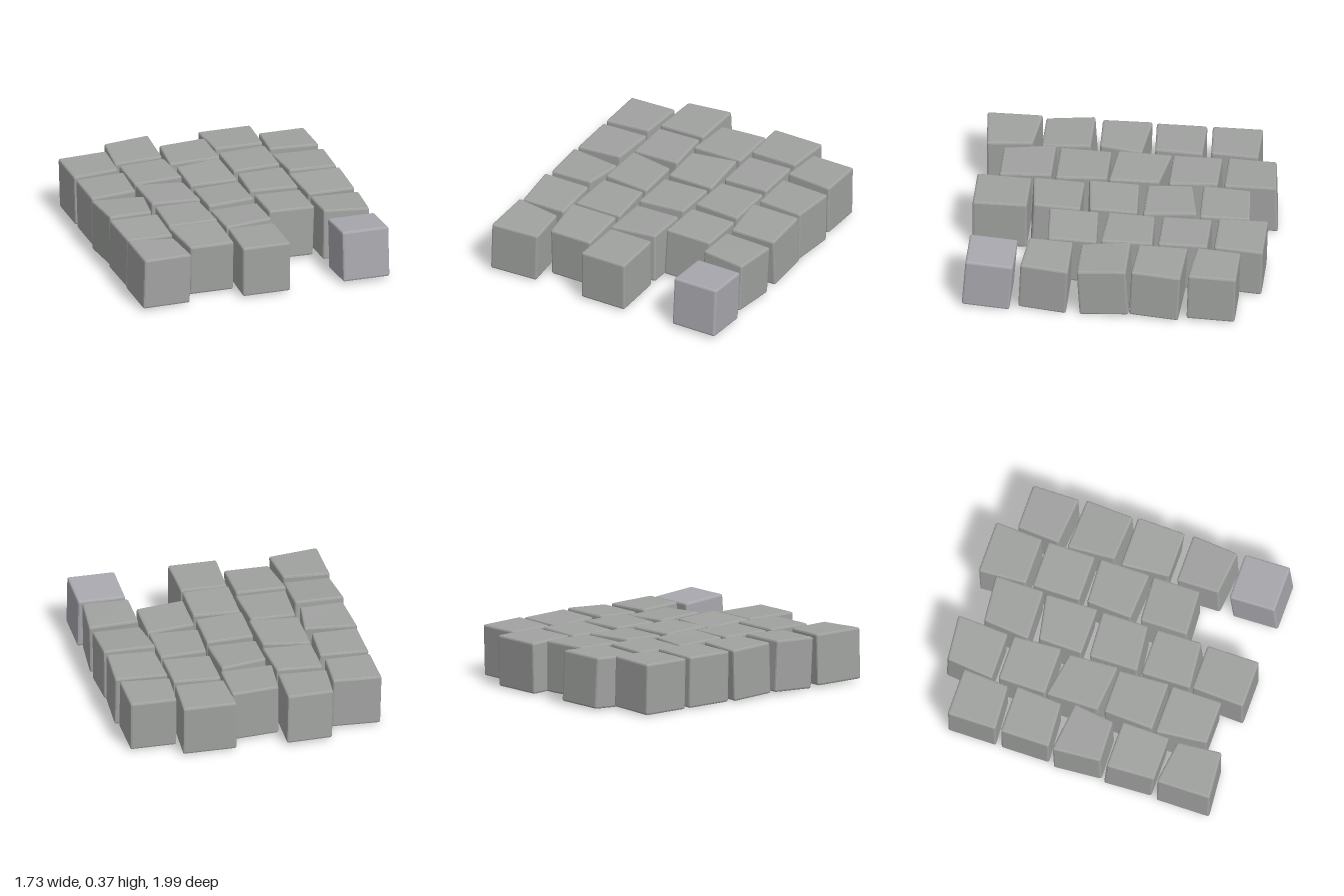
import * as THREE from 'three';
import { RoundedBoxGeometry } from 'three/addons/geometries/RoundedBoxGeometry.js';

// Columns of paving stones from -x to +x, each listed from back to front.
// back, front, left, right: slant of that edge of the top, seen from above with x to the right;
// leanX, leanZ: how far the foot is offset; deep, wide: extra size.
const columns = [
  [
    { front: -0.02, right: -0.02, leanX: 0.01 },
    { front: -0.02, right: -0.02, leanX: 0.01 },
    { back: 0.04, front: -0.01, left: 0.02, right: -0.04, leanZ: 0.01, deep: -0.02 },
    { left: 0.02, leanZ: -0.02 },
    { back: 0.04, front: -0.03, right: 0.025, leanX: -0.01, deep: 0.01 },
  ],
  [
    { back: -0.03, left: -0.03, right: -0.015, leanX: 0.01, leanZ: -0.01, deep: 0.01 },
    { right: 0.02, leanX: 0.01 },
    { back: 0.055, front: 0.03, right: 0.015, leanZ: 0.01, deep: 0.02 },
    { left: -0.015, right: 0.02, deep: 0.015 },
    { left: 0.04, leanZ: -0.015, deep: 0.02 },
  ],
  [
    { back: -0.03, front: -0.01, left: -0.03, wide: 0.015 },
    { back: -0.06, right: 0.015, leanZ: -0.015 },
    { back: -0.02, front: -0.035, leanZ: 0.01 },
    { front: -0.03, leanX: 0.01, leanZ: 0.015 },
    { left: -0.015, deep: 0.035 },
  ],
  [
    { left: 0.015, right: -0.02, leanZ: 0.01, wide: 0.025 },
    { leanX: 0.01 },
    { back: -0.015, front: 0.02, left: -0.015 },
    { back: -0.02, front: -0.02, leanX: -0.015, leanZ: 0.01 },
  ],
  [
    { front: 0.03, left: -0.02, leanZ: 0.01, deep: -0.02 },
    { back: 0.015, front: 0.02, left: 0.015, right: -0.02, leanZ: 0.015, wide: 0.015 },
    { left: 0.03, leanZ: -0.02, wide: 0.015 },
    { front: 0.03, right: -0.03, leanX: -0.01, leanZ: 0.015, deep: -0.02 },
    { leanZ: 0.025, deep: -0.01 },
  ],
];

const WIDTH = 0.322, DEPTH = 0.325, BOTTOM = 0.03, TOP = 0.375;
const COLUMN_STEP = 0.345, ROW_STEP = 0.371;

// Chamfered box pushed into a crooked, slightly tilted stone
function stoneGeometry({ back = 0, front = 0, left = 0, right = 0, leanX = 0, leanZ = 0, deep = 0, wide = 0 }) {
  const width = WIDTH + wide, height = TOP - BOTTOM, depth = DEPTH + deep;
  const geometry = new RoundedBoxGeometry(width, height, depth, 1, 0.013);
  const p = geometry.attributes.position;
  for (let i = 0; i < p.count; i++) {
    const x = p.getX(i), y = p.getY(i), z = p.getZ(i);
    const u = x / width, v = y / height, w = z / depth;
    const foot = 0.5 - v;
    p.setXYZ(i,
      x + w * THREE.MathUtils.lerp(left, right, u + 0.5) + leanX * foot,
      y + (TOP + BOTTOM) / 2 + leanX * u + leanZ * w,
      z + u * THREE.MathUtils.lerp(back, front, w + 0.5) + leanZ * foot);
  }
  geometry.computeVertexNormals();
  return geometry;
}

export function createModel() {
  const model = new THREE.Group();
  model.name = 'pavingStones';
  const grey = new THREE.MeshStandardMaterial({ color: 0xa0a2a0, flatShading: true });
  const pale = new THREE.MeshStandardMaterial({ color: 0xa8a8ae, flatShading: true });

  columns.forEach((stones, c) => {
    const column = new THREE.Group();
    column.name = `stoneColumn${c + 1}`;
    column.position.x = (c - 2) * COLUMN_STEP;
    // Every second column is set further back
    const start = c % 2 ? -0.81 : -0.675;
    stones.forEach((stone, r) => {
      // The front stone of the last column is a little paler
      const isPale = c === 4 && r === 4;
      const mesh = new THREE.Mesh(stoneGeometry(stone), isPale ? pale : grey);
      mesh.name = isPale ? 'paleStone' : `stone${r + 1}`;
      mesh.position.z = start + r * ROW_STEP;
      column.add(mesh);
    });
    model.add(column);
  });
  return model;
}
